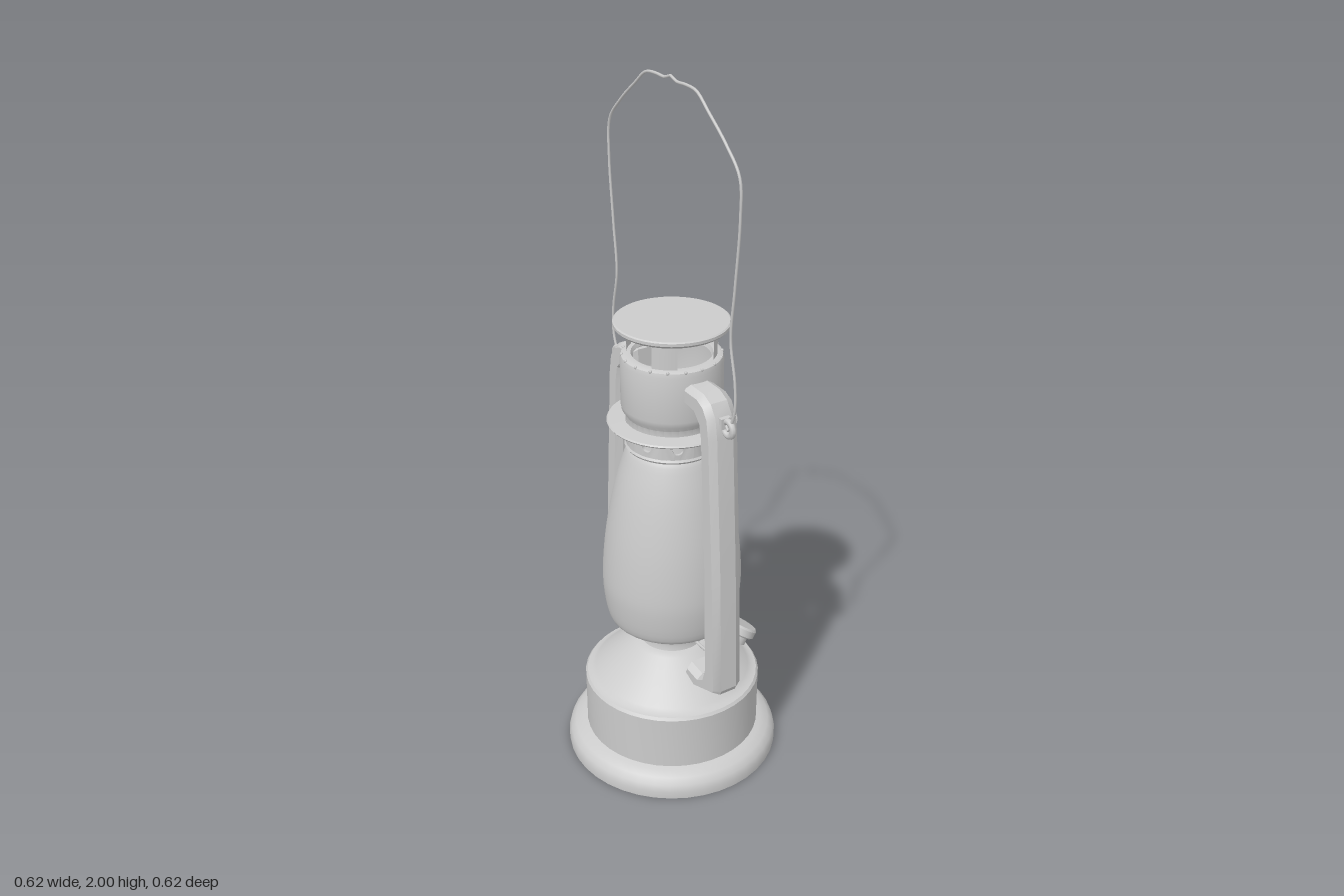
import * as THREE from 'three';
import { toCreasedNormals } from 'three/addons/utils/BufferGeometryUtils.js';

const grey = new THREE.MeshStandardMaterial({ color: 0xcccccc, side: THREE.DoubleSide });

function add(parent, name, geometry, crease = 0.6) {
  const mesh = new THREE.Mesh(crease ? toCreasedNormals(geometry, crease) : geometry, grey);
  mesh.name = name;
  parent.add(mesh);
  return mesh;
}

const vec2 = (points) => points.map(([x, y]) => new THREE.Vector2(x, y));

// Turned part from [radius, height] pairs, listed from bottom to top
const turned = (points, sides = 40) => new THREE.LatheGeometry(vec2(points), sides);

// Round wire through [x, y, z] points
function wire(points, radius, segments = 40) {
  const curve = new THREE.CatmullRomCurve3(points.map((p) => new THREE.Vector3(...p)), false, 'centripetal');
  return new THREE.TubeGeometry(curve, segments, radius, 6);
}

// One curved panel of the collar with a round vent in its middle
function ventPanel(radius, height, angle, hole) {
  const w = radius * angle / 2, h = height / 2, steps = 6, outline = [];
  for (let i = 0; i <= steps; i++) outline.push([-w + 2 * w * i / steps, -h]);
  for (let i = 0; i <= steps; i++) outline.push([w - 2 * w * i / steps, h]);
  const shape = new THREE.Shape(vec2(outline));
  shape.holes.push(new THREE.Path().absarc(0, 0, hole, 0, Math.PI * 2, true));
  const geo = new THREE.ExtrudeGeometry(shape, { depth: 0.008, bevelEnabled: false, curveSegments: 8 });
  const pos = geo.attributes.position;
  for (let i = 0; i < pos.count; i++) {
    const a = pos.getX(i) / radius, r = radius - 0.008 + pos.getZ(i);
    pos.setXYZ(i, Math.sin(a) * r, pos.getY(i), Math.cos(a) * r);
  }
  geo.computeVertexNormals();
  return geo;
}

export function createModel() {
  const lantern = new THREE.Group();
  lantern.name = 'lantern';

  // Fuel tank: rolled foot, straight wall and sloping shoulder
  add(lantern, 'tank', turned([
    [0, 0], [0.31, 0], [0.311, 0.022], [0.305, 0.042], [0.29, 0.058], [0.268, 0.068], [0.255, 0.072],
    [0.256, 0.235], [0.25, 0.243], [0.237, 0.246], [0.225, 0.255], [0.115, 0.352], [0.1, 0.36], [0, 0.36],
  ]));

  // Burner under the globe
  add(lantern, 'burner', turned([
    [0.094, 0.355], [0.088, 0.375], [0.092, 0.392], [0.115, 0.415], [0.122, 0.425], [0.122, 0.438], [0, 0.438],
  ]));

  // Globe
  const globeCurve = new THREE.SplineCurve(vec2([
    [0.12, 0.436], [0.165, 0.439], [0.185, 0.46], [0.197, 0.54], [0.197, 0.61], [0.188, 0.71],
    [0.172, 0.81], [0.152, 0.9], [0.128, 0.975], [0.115, 1.0], [0.108, 1.05],
  ]));
  add(lantern, 'globe', new THREE.LatheGeometry(globeCurve.getPoints(36), 40), 0);

  // Collar with round vents
  const collar = new THREE.Group();
  collar.name = 'ventCollar';
  const vents = 9;
  for (let i = 0; i < vents; i++) {
    const panel = add(collar, 'ventPanel', ventPanel(0.126, 0.076, Math.PI * 2 / vents, 0.015));
    panel.position.y = 1.034;
    panel.rotation.y = (i + 0.3) * Math.PI * 2 / vents;
  }
  lantern.add(collar);
  add(lantern, 'collarRim', turned([[0.108, 0.992], [0.126, 0.992], [0.13, 0.998], [0.126, 1.004]]));

  // Flange and chimney
  add(lantern, 'flange', turned([
    [0.115, 1.065], [0.175, 1.065], [0.178, 1.069], [0.175, 1.073], [0.13, 1.076],
  ]));
  add(lantern, 'chimney', turned([
    [0.126, 1.07], [0.126, 1.09], [0.136, 1.105], [0.139, 1.12], [0.139, 1.25], [0.136, 1.262], [0.128, 1.266],
    [0.11, 1.266], [0.105, 1.255],
  ]));
  const rivets = new THREE.Group();
  rivets.name = 'chimneyRivets';
  for (let i = 0; i < 18; i++) {
    const a = i * Math.PI / 9;
    const rivet = add(rivets, 'rivet', new THREE.SphereGeometry(0.005, 6, 4), 0);
    rivet.position.set(Math.sin(a) * 0.134, 1.263, Math.cos(a) * 0.134);
  }
  lantern.add(rivets);

  // Posts carrying the cap
  for (let i = 0; i < 4; i++) {
    const width = 0.56, middle = Math.PI / 4 + i * Math.PI / 2;
    const post = add(lantern, 'capPost',
      new THREE.CylinderGeometry(0.121, 0.121, 0.085, 5, 1, true, middle - width / 2, width));
    post.position.y = 1.3;
  }
  add(lantern, 'cap', turned([
    [0, 1.333], [0.128, 1.333], [0.15, 1.341], [0.157, 1.348], [0.157, 1.356], [0.153, 1.359], [0, 1.359],
  ]));

  // Filler neck and cap, leaning out to the left
  const filler = new THREE.Group();
  filler.name = 'filler';
  add(filler, 'fillerNeck', new THREE.CylinderGeometry(0.042, 0.05, 0.15, 20)).position.y = -0.1;
  add(filler, 'fillerCap', turned([
    [0, -0.032], [0.052, -0.032], [0.058, -0.027], [0.058, -0.006], [0.053, 0], [0, 0],
  ], 24));
  filler.position.set(0.246, 0.305, 0.012);
  filler.rotation.z = -0.6;
  lantern.add(filler);

  // Wick knob
  const wick = new THREE.Group();
  wick.name = 'wickKnob';
  const stem = add(wick, 'wickStem', new THREE.CylinderGeometry(0.006, 0.006, 0.09, 8));
  stem.rotation.x = Math.PI / 2;
  stem.position.z = 0.105;
  const knob = add(wick, 'wickWheel', new THREE.TorusGeometry(0.016, 0.006, 6, 16), 0);
  knob.position.z = 0.152;
  wick.position.y = 0.372;
  wick.rotation.y = Math.PI - 0.88;
  lantern.add(wick);

  // Frame and bail sit in one plane, turned slightly off the front axis
  const frame = new THREE.Group();
  frame.name = 'frame';
  frame.rotation.y = -0.05;
  frame.position.x = -0.004;
  lantern.add(frame);

  const strutShape = new THREE.Shape(vec2([
    [0.125, 1.23], [0.195, 1.228], [0.228, 1.212], [0.25, 1.18], [0.26, 1.12],
    [0.285, 0.72], [0.3, 0.35], [0.293, 0.335], [0.19, 0.3], [0.135, 0.325],
    [0.15, 0.36], [0.205, 0.352], [0.225, 0.365], [0.235, 0.4],
    [0.226, 0.72], [0.203, 1.11], [0.196, 1.145], [0.175, 1.168], [0.125, 1.175],
  ]));
  for (const turn of [0, Math.PI]) {
    const side = new THREE.Group();
    side.name = turn ? 'backSide' : 'frontSide';
    side.rotation.y = turn;

    const strut = new THREE.ExtrudeGeometry(strutShape, {
      depth: 0.05, bevelThickness: 0.02, bevelSize: 0.012, bevelOffset: -0.012, bevelSegments: 1,
    });
    strut.translate(0, 0, -0.025);
    strut.rotateY(-Math.PI / 2);
    add(side, 'strut', strut, 0.45);

    // Ear holding the bail
    const ear = add(side, 'bailEar', new THREE.TorusGeometry(0.02, 0.009, 8, 18), 0);
    ear.position.set(0, 1.155, 0.273);
    ear.rotation.y = Math.PI / 2;
    const tab = add(side, 'earTab', new THREE.BoxGeometry(0.03, 0.03, 0.03));
    tab.position.set(0, 1.165, 0.248);

    // Globe guard wire
    add(side, 'guardWire', wire([
      [0, 0.46, 0.232], [0, 0.43, 0.222], [0, 0.415, 0.2], [0, 0.41, 0.15], [0, 0.415, 0.1],
    ], 0.005, 20), 0);
    frame.add(side);
  }

  // Wire bail, mirrored about its peak, with hooked ends
  const half = [
    [0.262, 1.16], [0.272, 1.148], [0.282, 1.165], [0.299, 1.215], [0.297, 1.29], [0.275, 1.4], [0.288, 1.54],
    [0.304, 1.72], [0.298, 1.82], [0.24, 1.885], [0.165, 1.945], [0.115, 1.982], [0.07, 1.988], [0.025, 1.987],
  ];
  const bailPath = [
    ...half.map(([z, y]) => [0, y, z]), [0, 1.996, 0], ...half.map(([z, y]) => [0, y, -z]).reverse(),
  ];
  add(frame, 'bail', wire(bailPath, 0.004, 140), 0);

  return lantern;
}
